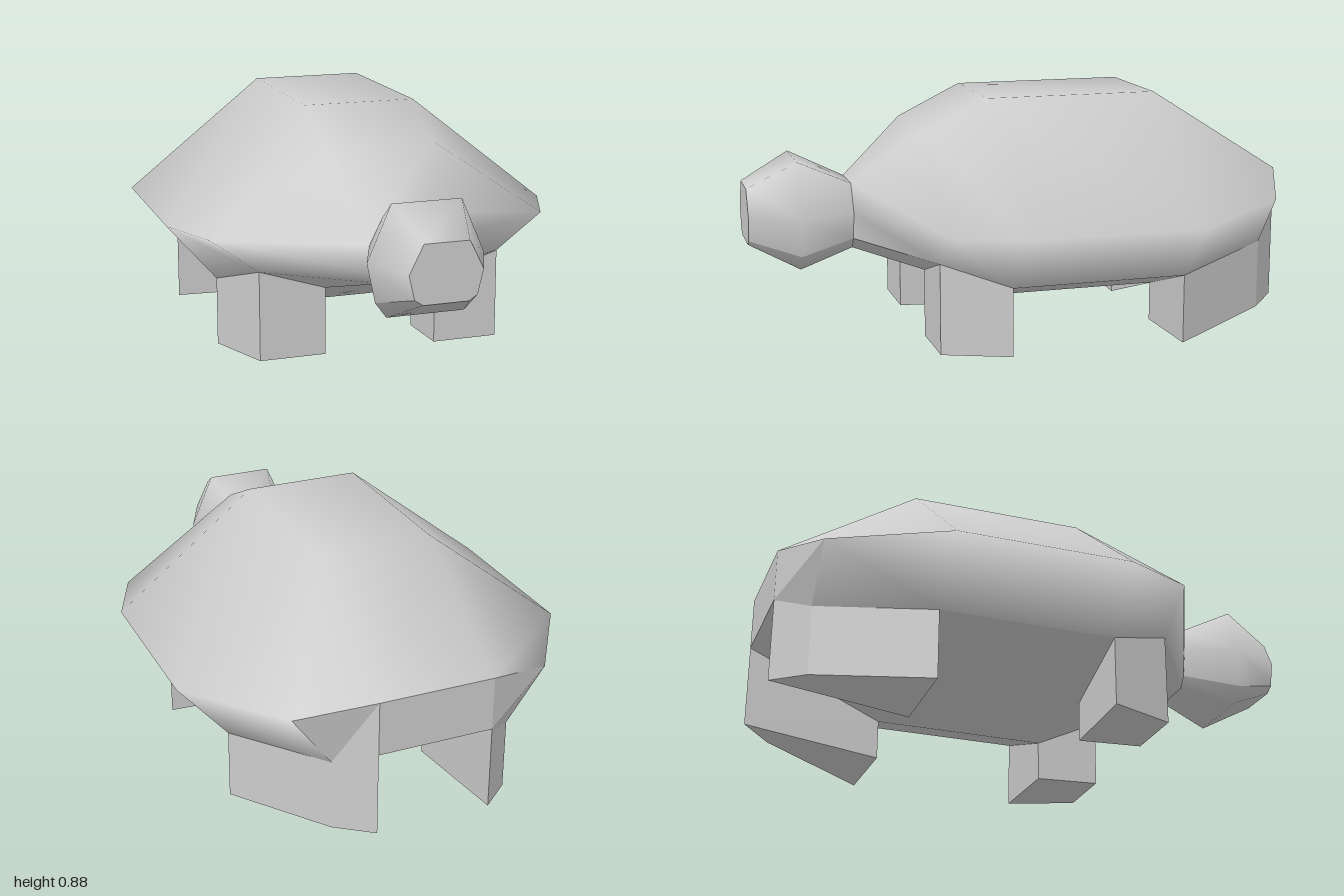
import * as THREE from 'three';

const material = new THREE.MeshStandardMaterial({ color: 0xcccccc });

// Half cross-sections, +x side: back edge, widest point, lower edge, belly edge
const section = (z, ...pts) => pts.map(([x, y]) => [x, y, z]);
const neck = section(0.62, [0.08, 0.57], [0.13, 0.47], [0.11, 0.37], [0.08, 0.33]);
const headSections = [
  section(1, [0.08, 0.57], [0.13, 0.47], [0.11, 0.385], [0.08, 0.365]),
  section(0.82, [0.125, 0.665], [0.21, 0.47], [0.18, 0.33], [0.14, 0.275]),
  neck,
];
const tail = [[0.21, 0.565, -1], [0.47, 0.5, -0.89], [0.33, 0.31, -0.89], [0.21, 0.37, -1]];
const bodySections = [
  neck,
  section(0.38, [0.2, 0.765], [0.63, 0.47], [0.455, 0.34], [0.21, 0.26]),
  section(0.14, [0.21, 0.88], [0.73, 0.47], [0.55, 0.26], [0.21, 0.145]),
  section(-0.5, [0.21, 0.88], [0.73, 0.47], [0.55, 0.26], [0.21, 0.145]),
  tail,
];

const mirror = ([x, y, z]) => [-x, y, z];
// Arc over the back, from the left lower edge to the right lower edge
const upperArc = ([t, s, l]) => [l, s, t, mirror(t), mirror(s), mirror(l)];
// Arc under the belly, from the right lower edge to the left one
const lowerArc = ([, , l, b]) => [mirror(l), mirror(b), b, l];

function build(points, index, flat) {
  let g = new THREE.BufferGeometry();
  g.setAttribute('position', new THREE.Float32BufferAttribute(points.flat(), 3));
  g.setIndex(index);
  if (flat) g = g.toNonIndexed();
  g.computeVertexNormals();
  return g;
}

// Smooth skin through a row of arcs
function loft(arcs) {
  const n = arcs[0].length, index = [];
  for (let i = 0; i < arcs.length - 1; i++) {
    for (let j = 0; j < n - 1; j++) {
      const a = i * n + j, b = a + n;
      index.push(a, b, a + 1, a + 1, b, b + 1);
    }
  }
  return build(arcs.flat(), index, false);
}

// Flat polygon, corners counter-clockwise from outside
function polygon(points) {
  const index = [];
  for (let i = 1; i < points.length - 1; i++) index.push(0, i, i + 1);
  return build(points, index, true);
}

// Four-sided leg: corners [x, z, topY, footY], counter-clockwise from above for +x
function legGeometry(corners, side) {
  const list = side > 0 ? corners : [...corners].reverse();
  const points = [
    ...list.map(([x, z, top]) => [x * side, top, z]),
    ...list.map(([x, z, , foot]) => [x * side, foot, z]),
  ];
  const index = [4, 6, 5, 4, 7, 6];
  for (let i = 0; i < 4; i++) {
    const j = (i + 1) % 4;
    index.push(i, i + 4, j, j, i + 4, j + 4);
  }
  return build(points, index, true);
}

export function createModel() {
  const model = new THREE.Group();
  model.name = 'turtle';
  const add = (name, geometry, parent = model) => {
    const mesh = new THREE.Mesh(geometry, material);
    mesh.name = name;
    parent.add(mesh);
  };

  // Shell and belly
  add('shell', loft(bodySections.map(upperArc)));
  add('belly', loft(bodySections.map(lowerArc)));

  // Blunt rear end: middle panel and two angled corners
  const rear = new THREE.Group();
  rear.name = 'rearEnd';
  model.add(rear);
  const [t, s, l, b] = tail;
  add('rearPanel', polygon([t, b, mirror(b), mirror(t)]), rear);
  add('leftRearCorner', polygon([t, s, l, b]), rear);
  add('rightRearCorner', polygon([b, l, s, t].map(mirror)), rear);

  // Head
  const head = new THREE.Group();
  head.name = 'head';
  model.add(head);
  add('headTop', loft(headSections.map(upperArc)), head);
  add('chin', loft(headSections.map(lowerArc)), head);
  const snout = headSections[0];
  add('snout', polygon([...upperArc(snout), mirror(snout[3]), snout[3]]), head);

  // Legs
  const frontLeg = [
    [0.21, 0.38, 0.26, 0.01], [0.455, 0.38, 0.34, 0.01],
    [0.55, 0.14, 0.26, 0.01], [0.21, 0.14, 0.145, 0],
  ];
  const backLeg = [
    [0.21, -0.5, 0.145, 0], [0.55, -0.5, 0.26, 0.008],
    [0.33, -0.89, 0.31, 0.053], [0.21, -1, 0.37, 0.065],
  ];
  for (const [side, label] of [[1, 'Left'], [-1, 'Right']]) {
    add('front' + label + 'Leg', legGeometry(frontLeg, side));
    add('back' + label + 'Leg', legGeometry(backLeg, side));
  }
  return model;
}
